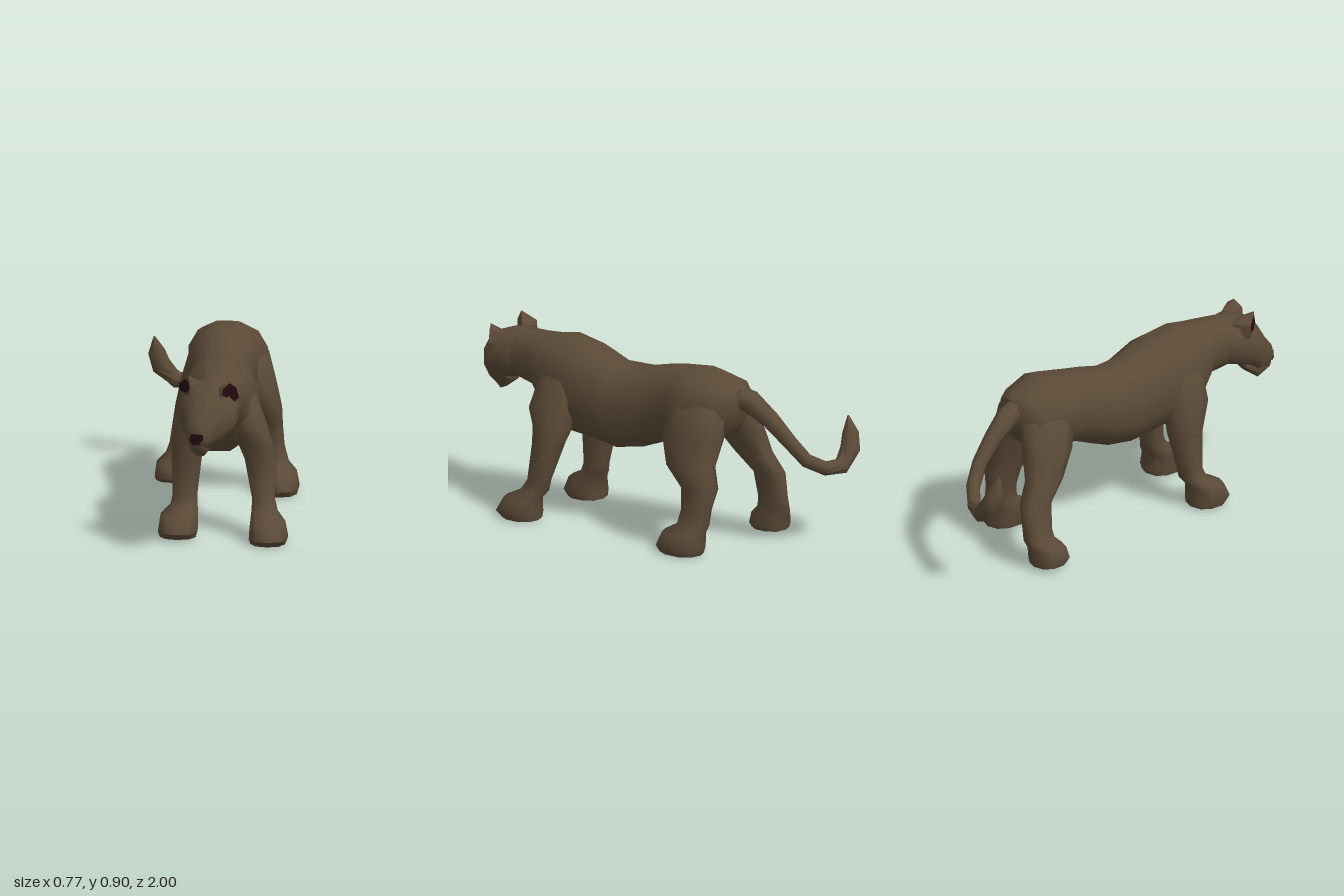
import * as THREE from 'three';
import { toCreasedNormals } from 'three/addons/utils/BufferGeometryUtils.js';
import { ConvexGeometry } from 'three/addons/geometries/ConvexGeometry.js';

const X = new THREE.Vector3(1, 0, 0), Y = new THREE.Vector3(0, 1, 0), Z = new THREE.Vector3(0, 0, 1);

// Skin a list of rings { c: centre, u, v: axes, ru, rv: radii }, closed at both ends
function loft(rings, sides = 10, power = 0.88) {
  const pos = [], index = [];
  const bend = (t) => Math.sign(t) * Math.abs(t) ** power;
  for (const r of rings) {
    for (let j = 0; j < sides; j++) {
      const a = ((j + 0.5) / sides) * Math.PI * 2;
      const p = r.c.clone()
        .addScaledVector(r.u, bend(Math.cos(a)) * r.ru)
        .addScaledVector(r.v, bend(Math.sin(a)) * r.rv);
      pos.push(p.x, p.y, p.z);
    }
  }
  const last = rings.length - 1, start = rings.length * sides, end = start + 1;
  pos.push(...rings[0].c.toArray(), ...rings[last].c.toArray());
  for (let j = 0; j < sides; j++) {
    const k = (j + 1) % sides;
    for (let i = 0; i < last; i++) {
      const a = i * sides + j, b = i * sides + k;
      index.push(a, b, a + sides, b, b + sides, a + sides);
    }
    index.push(start, k, j, end, last * sides + j, last * sides + k);
  }
  const g = new THREE.BufferGeometry();
  g.setAttribute('position', new THREE.Float32BufferAttribute(pos, 3));
  g.setIndex(index);
  return toCreasedNormals(g, 1.0);
}

// Rows: z, centre x, centre y, half width, half height; yaw slants the rings
function lengthwise(rows, yaw = 0, sides = 12) {
  const u = new THREE.Vector3(1, 0, yaw);
  return loft(rows.map(([z, x, y, ru, rv]) => ({ c: new THREE.Vector3(x, y, z), u, v: Y, ru, rv })), sides);
}

// Rows from the top down: y, centre x, centre z, half width, half depth
function upright(rows) {
  return loft(rows.map(([y, x, z, ru, rv]) => ({ c: new THREE.Vector3(x, y, z), u: X, v: Z, ru, rv })));
}

function polygon(points) {
  return new THREE.Shape(points.map(([x, y]) => new THREE.Vector2(x, y)));
}

export function createModel() {
  const model = new THREE.Group();
  const fur = new THREE.MeshStandardMaterial({ color: 0x5b4a37 });
  fur.name = 'brown fur';
  const dark = new THREE.MeshStandardMaterial({ color: 0x260b10 });
  dark.name = 'dark red skin';

  const add = (name, geometry, material = fur, parent = model) => {
    const mesh = new THREE.Mesh(geometry, material);
    mesh.name = name;
    parent.add(mesh);
    return mesh;
  };

  // Trunk from rump to neck
  add('body', lengthwise([
    [-0.56, 0.03, 0.72, 0.08, 0.08],
    [-0.50, 0.02, 0.69, 0.16, 0.14],
    [-0.35, 0.035, 0.68, 0.20, 0.187],
    [-0.20, 0.02, 0.667, 0.16, 0.182],
    [-0.10, 0.02, 0.637, 0.15, 0.195],
    [0.00, 0.02, 0.605, 0.155, 0.202],
    [0.15, 0.035, 0.592, 0.17, 0.215],
    [0.30, 0.038, 0.635, 0.188, 0.23],
    [0.45, 0.035, 0.655, 0.178, 0.24],
    [0.55, 0.04, 0.685, 0.155, 0.193],
    [0.62, 0.04, 0.735, 0.13, 0.138],
    [0.78, 0.02, 0.745, 0.11, 0.12],
  ]));

  // Head, turned slightly to its right
  add('head', lengthwise([
    [0.70, 0.03, 0.745, 0.10, 0.115],
    [0.79, 0.015, 0.74, 0.148, 0.126],
    [0.86, 0.005, 0.72, 0.145, 0.125],
    [0.91, -0.02, 0.68, 0.095, 0.125],
    [0.955, -0.035, 0.64, 0.062, 0.08],
    [0.99, -0.04, 0.632, 0.038, 0.042],
  ], 0.3));
  add('chin', lengthwise([
    [0.83, -0.01, 0.62, 0.06, 0.045],
    [0.91, -0.03, 0.57, 0.045, 0.054],
    [0.965, -0.04, 0.585, 0.04, 0.032],
    [0.98, -0.04, 0.592, 0.03, 0.02],
  ], 0.2, 8));

  // Nose pad
  const nose = add('nose', new THREE.ExtrudeGeometry(polygon([
    [-0.02, -0.034], [0.01, -0.028], [0.034, -0.004], [0.032, 0.022], [-0.028, 0.022], [-0.036, -0.01],
  ]), { depth: 0.004, bevelEnabled: false }), dark);
  nose.position.set(-0.042, 0.625, 0.99);
  nose.rotation.y = -0.29;

  // Wedge-shaped ears with dark linings; outlines are in the plane of each ear's opening
  for (const { name, at, yaw, depth, outline, patch } of [
    {
      name: 'leftEar', at: [0.112, 0.825, 0.885], yaw: 0.45, depth: 0.07,
      outline: [[-0.05, -0.05], [0.045, -0.06], [0.055, -0.02], [0.035, 0.035], [0.0, 0.06], [-0.045, 0.025]],
      patch: [[-0.02, -0.012], [0.022, -0.042], [0.05, -0.022], [0.034, 0.03], [0.0, 0.055], [-0.035, 0.028], [-0.044, 0.0]],
    },
    {
      name: 'rightEar', at: [-0.11, 0.84, 0.825], yaw: -0.9, depth: 0.09,
      outline: [[-0.05, -0.05], [0.045, -0.05], [0.05, 0.02], [0.03, 0.065], [-0.045, 0.015]],
      patch: [[-0.042, -0.022], [0.02, -0.026], [0.044, 0.0], [0.036, 0.034], [0.01, 0.044], [-0.04, 0.012]],
    },
  ]) {
    const ear = new THREE.Group();
    ear.name = name;
    const front = outline.map(([x, y]) => new THREE.Vector3(x, y, 0));
    const back = [[-0.04, -0.05], [0.04, -0.05], [0.03, 0.02], [-0.03, 0.015]]
      .map(([x, y]) => new THREE.Vector3(x, y, -depth));
    add(name + 'Flap', new ConvexGeometry([...front, ...back]), fur, ear);
    add(name + 'Lining', new THREE.ShapeGeometry(polygon(patch)), dark, ear).position.z = 0.003;
    ear.position.set(...at);
    ear.rotation.y = yaw;
    model.add(ear);
  }

  // Four legs in mid stride
  const legs = {
    frontLeftLeg: [
      [0.80, 0.08, 0.42, 0.06, 0.07], [0.70, 0.125, 0.44, 0.095, 0.12], [0.55, 0.185, 0.46, 0.09, 0.125],
      [0.47, 0.212, 0.44, 0.085, 0.10], [0.39, 0.24, 0.445, 0.08, 0.077], [0.20, 0.255, 0.49, 0.056, 0.057],
      [0.14, 0.262, 0.515, 0.066, 0.07], [0.10, 0.28, 0.57, 0.088, 0.095], [0.03, 0.285, 0.587, 0.098, 0.118],
      [0.0, 0.282, 0.575, 0.088, 0.098],
    ],
    frontRightLeg: [
      [0.80, -0.01, 0.40, 0.05, 0.07], [0.70, -0.06, 0.42, 0.085, 0.11], [0.55, -0.10, 0.42, 0.088, 0.12],
      [0.40, -0.122, 0.40, 0.077, 0.087], [0.20, -0.13, 0.425, 0.062, 0.06], [0.15, -0.135, 0.44, 0.068, 0.065],
      [0.11, -0.155, 0.495, 0.095, 0.088], [0.04, -0.16, 0.51, 0.10, 0.108], [0.01, -0.16, 0.50, 0.092, 0.095],
    ],
    hindLeftLeg: [
      [0.81, 0.06, -0.36, 0.07, 0.09], [0.70, 0.12, -0.37, 0.115, 0.155], [0.55, 0.17, -0.37, 0.10, 0.168],
      [0.42, 0.21, -0.385, 0.087, 0.13], [0.32, 0.225, -0.45, 0.072, 0.095], [0.22, 0.245, -0.445, 0.06, 0.078],
      [0.14, 0.26, -0.435, 0.066, 0.082], [0.10, 0.28, -0.395, 0.088, 0.112], [0.03, 0.287, -0.38, 0.096, 0.128],
      [0.0, 0.285, -0.385, 0.088, 0.112],
    ],
    hindRightLeg: [
      [0.81, -0.01, -0.37, 0.07, 0.09], [0.70, -0.06, -0.40, 0.10, 0.145], [0.55, -0.115, -0.44, 0.088, 0.135],
      [0.42, -0.16, -0.495, 0.07, 0.10], [0.32, -0.188, -0.57, 0.058, 0.084], [0.19, -0.21, -0.575, 0.055, 0.077],
      [0.14, -0.22, -0.57, 0.064, 0.08], [0.10, -0.24, -0.54, 0.088, 0.092], [0.04, -0.245, -0.53, 0.09, 0.10],
      [0.02, -0.245, -0.535, 0.084, 0.09],
    ],
  };
  for (const [name, rows] of Object.entries(legs)) add(name, upright(rows));

  // Tail sweeping down and curling up to its right; rows: x, y, z, radius
  const tail = [
    [0.02, 0.755, -0.48, 0.06], [0.0, 0.73, -0.59, 0.058], [-0.02, 0.65, -0.70, 0.045],
    [-0.04, 0.55, -0.80, 0.037], [-0.08, 0.46, -0.87, 0.035], [-0.16, 0.41, -0.925, 0.035],
    [-0.25, 0.405, -0.955, 0.042], [-0.325, 0.475, -0.955, 0.05], [-0.348, 0.55, -0.94, 0.042],
    [-0.357, 0.63, -0.92, 0.004],
  ];
  const curve = new THREE.CatmullRomCurve3(tail.map(([x, y, z]) => new THREE.Vector3(x, y, z)));
  add('tail', loft(tail.map(([x, y, z, r], i) => {
    const along = curve.getTangent(i / (tail.length - 1));
    const u = new THREE.Vector3(0.75, 0, -0.66).projectOnPlane(along).normalize();
    return { c: new THREE.Vector3(x, y, z), u, v: along.cross(u), ru: r, rv: r };
  }), 8, 1));

  return model;
}
